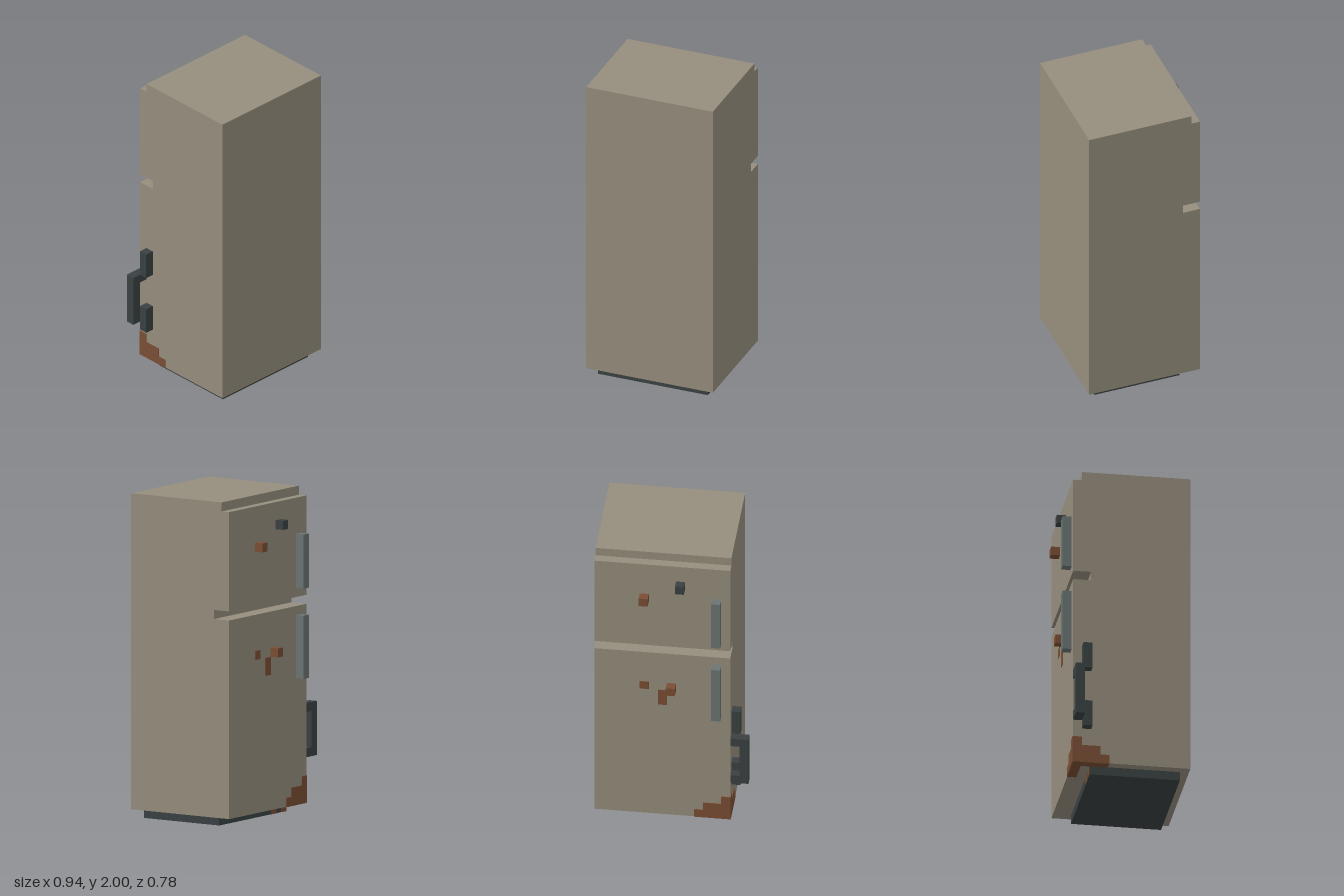
import * as THREE from 'three';

const U = 1 / 18; // one block

const material = (name, color) => {
  const m = new THREE.MeshStandardMaterial({ color });
  m.name = name;
  return m;
};

export function createModel() {
  const enamel = material('beige enamel', 0x968e7d);
  const dark = material('dark plastic', 0x3a4142);
  const steel = material('grey steel', 0x6b7474);
  const rust = material('rust', 0x7a4e34);

  const group = new THREE.Group();
  group.name = 'refrigerator';

  // Box given by its extents in blocks
  function box(name, mat, x0, x1, y0, y1, z0, z1) {
    const mesh = new THREE.Mesh(
      new THREE.BoxGeometry((x1 - x0) * U, (y1 - y0) * U, (z1 - z0) * U), mat);
    mesh.position.set((x0 + x1) * U / 2, (y0 + y1) * U / 2, (z0 + z1) * U / 2);
    mesh.name = name;
    group.add(mesh);
  }

  // Cabinet: side profile (z, y) with the door gap and top step, extruded across
  const profile = [[7, 1], [7, 36], [-5, 36], [-5, 35], [-6, 35], [-6, 24],
    [-4, 24], [-4, 23], [-6, 23], [-6, 1]];
  const shape = new THREE.Shape(profile.map(([z, y]) => new THREE.Vector2(z * U, y * U)));
  const cabinetGeo = new THREE.ExtrudeGeometry(shape, { depth: 15 * U, bevelEnabled: false });
  cabinetGeo.rotateY(-Math.PI / 2).translate(8.5 * U, 0, 0);
  const cabinet = new THREE.Mesh(cabinetGeo, enamel);
  cabinet.name = 'cabinet';
  group.add(cabinet);

  box('plinth', dark, -5.5, 7.5, 0, 1, -4, 6);

  // Door handles and magnets
  box('freezerHandle', steel, -5.5, -4.5, 25, 31, -7, -6);
  box('fridgeHandle', steel, -5.5, -4.5, 15, 22, -7, -6);
  box('darkMagnet', dark, -1.5, -0.5, 32, 33, -7, -6);
  box('upperRustMagnet', rust, 2.5, 3.5, 30, 31, -7, -6);
  box('lowerRustMagnet', rust, -0.5, 0.5, 18, 19, -7, -6);

  // Side grip with its two mounts
  box('gripBar', dark, -8.5, -7.5, 6, 12, -6, -5);
  box('gripUpperArm', dark, -7.5, -6.5, 11, 12, -6, -5);
  box('gripLowerArm', dark, -7.5, -6.5, 6, 7, -6, -5);
  box('gripUpperMount', dark, -7.5, -6.5, 12, 15, -5, -4);
  box('gripLowerMount', dark, -7.5, -6.5, 5, 8, -5, -4);

  // Rust patches as thin plates
  const t = 0.06;
  box('rustSpot', rust, 2.5, 3.5, 18, 19, -6 - t, -6);
  box('rustStreak', rust, 0.5, 1.5, 16, 18, -6 - t, -6);
  [3, 2, 2, 1].forEach((h, i) => {
    box('doorCornerRust', rust, -6.5 + i, -5.5 + i, 1, 1 + h, -6 - t, -6);
    box('sideCornerRust', rust, -6.5 - t, -6.5, 1, 1 + h, -6 + i, -5 + i);
  });
  box('undersideRust', rust, -6.5, -2.5, 1 - t, 1, -6, -5);
  box('undersideSideRust', rust, -6.5, -5.5, 1 - t, 1, -5, -2);
  box('plinthRust', rust, -3.5, -2.5, 0, 1, -4 - t, -4);
  box('plinthCornerRust', rust, -5.5, -4.5, 0, 1, -4 - t, -4);

  return group;
}
